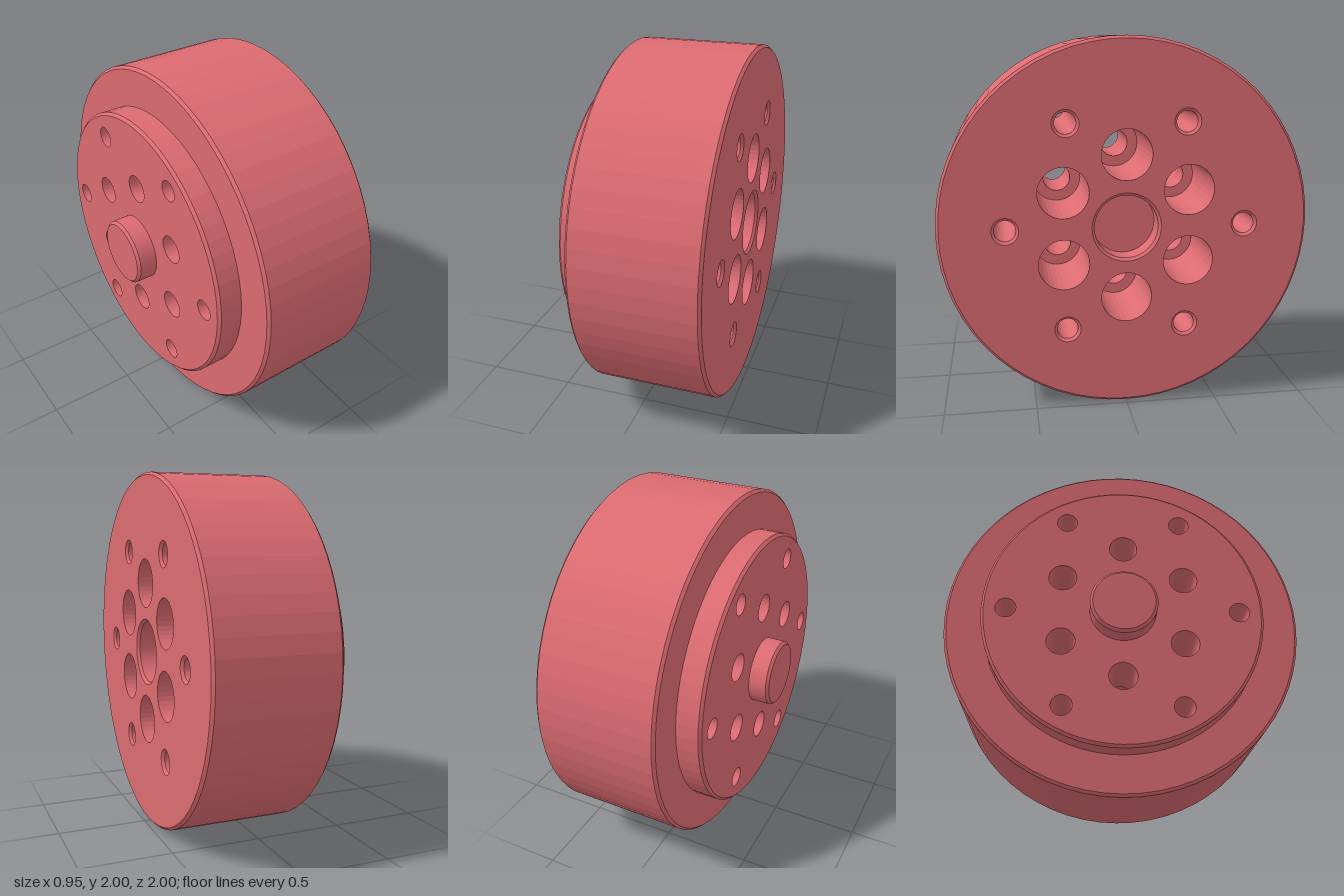
import * as THREE from 'three';

const FRONT = 0.475, STEP = -0.22, BACK = -0.36, TIP = -0.475; // stations along the axle
const C = 0.015; // edge chamfer
const RIM = 64, BORE = 32; // sides of large and small rounds

const material = new THREE.MeshStandardMaterial({ color: 0xdb6b71, flatShading: true });

// Turned surface about the z axle; profile of [radius, z], rising z faces outward
function turned(name, profile, sides, x = 0, y = 0) {
  const geometry = new THREE.LatheGeometry(profile.map(([r, z]) => new THREE.Vector2(r, z)), sides);
  geometry.rotateX(Math.PI / 2);
  const mesh = new THREE.Mesh(geometry, material);
  mesh.name = name;
  mesh.position.set(x, y, 0);
  return mesh;
}

function circle(r, sides, x = 0, y = 0) {
  const points = [];
  for (let i = 0; i < sides; i++) {
    const a = (i / sides) * Math.PI * 2;
    points.push(new THREE.Vector2(x + r * Math.cos(a), y + r * Math.sin(a)));
  }
  return points;
}

// Six centres on a bolt circle
function ring(radius, offset) {
  return Array.from({ length: 6 }, (_, i) => {
    const a = offset + (i * Math.PI) / 3;
    return [radius * Math.cos(a), radius * Math.sin(a)];
  });
}

// Flat round face pierced by the centre opening and both bolt circles
function piercedFace(name, radius, z, centre, innerR, outerR, inner, outer) {
  const shape = new THREE.Shape(circle(radius, RIM));
  shape.holes.push(new THREE.Path(circle(centre, RIM)));
  inner.forEach(([x, y]) => shape.holes.push(new THREE.Path(circle(innerR, BORE, x, y))));
  outer.forEach(([x, y]) => shape.holes.push(new THREE.Path(circle(outerR, BORE, x, y))));
  const mesh = new THREE.Mesh(new THREE.ShapeGeometry(shape), material);
  mesh.name = name;
  mesh.position.z = z;
  return mesh;
}

export function createModel() {
  const group = new THREE.Group();
  group.name = 'wheelHub';
  const hub = new THREE.Group();
  hub.name = 'hub';
  const inner = ring(0.39, Math.PI / 6);
  const outer = ring(0.645, 0);

  // Rim and stepped flange
  hub.add(turned('rim', [
    [0.765, BACK], [0.78, BACK + C], [0.78, STEP], [1 - C, STEP],
    [1, STEP + C], [1, FRONT - C], [1 - C, FRONT],
  ], RIM));

  // Pierced faces
  hub.add(piercedFace('outerFace', 1 - C, FRONT, 0.187, 0.137, 0.072, inner, outer));
  const back = piercedFace('flangeFace', 0.765, BACK, 0.185, 0.078, 0.057, inner, outer);
  back.rotation.y = Math.PI;
  hub.add(back);

  // Locating boss and its matching socket
  hub.add(turned('boss', [[0, TIP], [0.17, TIP], [0.185, TIP + C], [0.185, BACK]], RIM));
  hub.add(turned('socket', [[0.187, FRONT], [0.172, FRONT - C], [0.172, 0.345], [0, 0.345]], RIM));

  // Counterbored inner holes
  inner.forEach(([x, y]) => hub.add(turned('counterboredHole', [
    [0.137, FRONT], [0.137, 0], [0.078, 0], [0.078, BACK],
  ], BORE, x, y)));

  // Chamfered outer holes
  outer.forEach(([x, y]) => hub.add(turned('boltHole', [
    [0.072, FRONT], [0.057, FRONT - C], [0.057, BACK],
  ], BORE, x, y)));

  // Lay the axle along x and stand the rim on the ground
  hub.rotation.y = Math.PI / 2;
  hub.position.y = 1;
  group.add(hub);
  return group;
}
